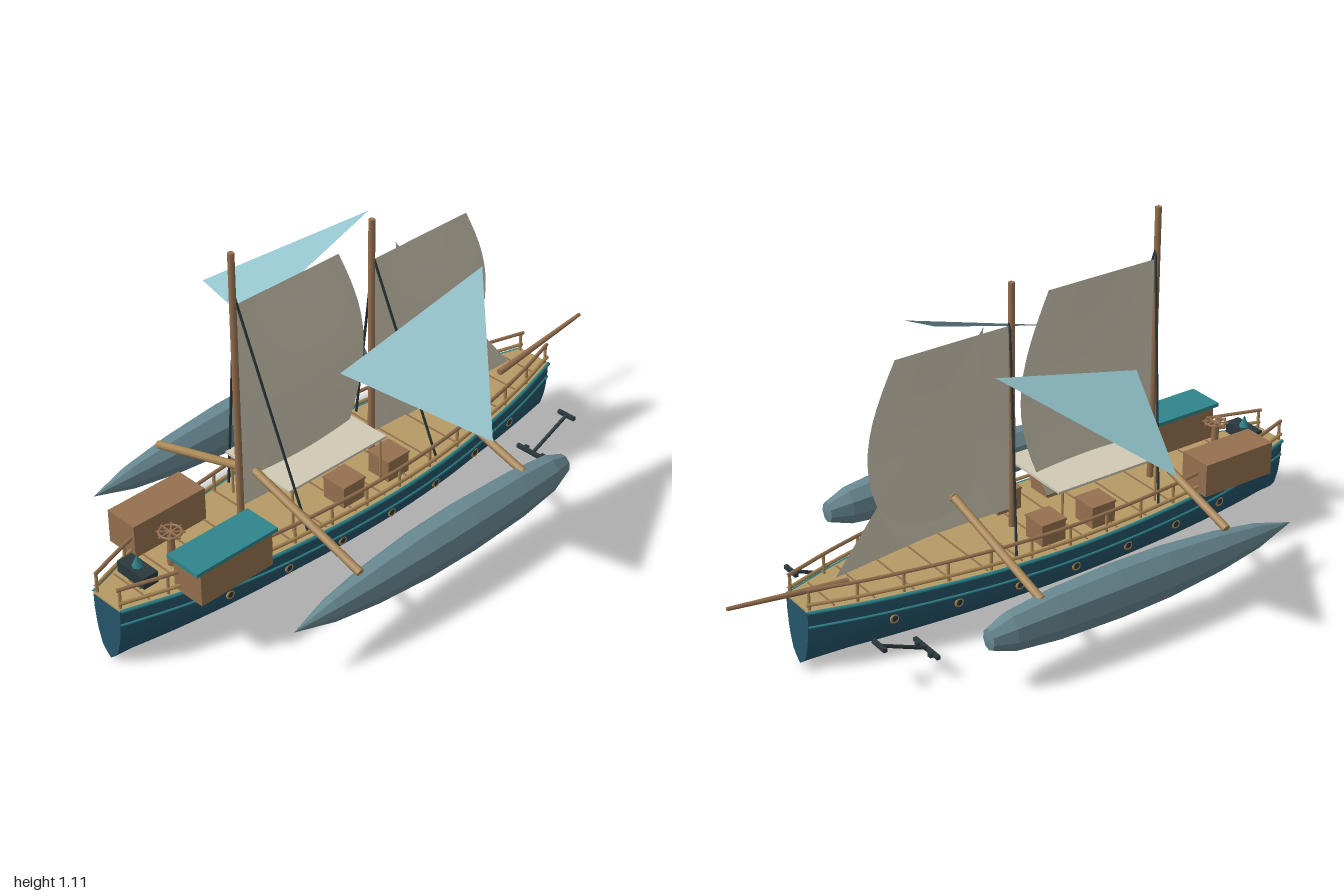
import * as THREE from 'three';

const mat = (name, color, extra = {}) => new THREE.MeshStandardMaterial({ name, color, ...extra });
const V = (x, y, z) => new THREE.Vector3(x, y, z);

export function createModel() {
  const root = new THREE.Group();
  root.name = 'outriggerShip';
  const hullBlue = mat('hull blue', 0x25566c);
  const teal = mat('teal trim', 0x2f858d);
  const deckTan = mat('deck tan', 0xb69a66);
  const poleTan = mat('pole wood', 0xa98655);
  const brown = mat('brown wood', 0x95704f);
  const dark = mat('dark iron', 0x2a383d);
  const canvas = mat('canvas', 0xd0c9b5, { side: THREE.DoubleSide });
  const floatGrey = mat('float grey', 0x678790, { flatShading: true });
  const wingBlue = mat('wing blue', 0x94c4cc, { side: THREE.DoubleSide });

  const add = (name, geo, material, x = 0, y = 0, z = 0, parent = root) => {
    const m = new THREE.Mesh(geo, material);
    m.name = name;
    m.position.set(x, y, z);
    parent.add(m);
    return m;
  };
  const box = (name, w, h, d, material, x, y, z, parent) =>
    add(name, new THREE.BoxGeometry(w, h, d), material, x, y, z, parent);
  // Round bar between two points
  const bar = (name, a, b, r, material, r2 = r, parent = root) => {
    const m = add(name, new THREE.CylinderGeometry(r2, r, a.distanceTo(b), 8), material, 0, 0, 0, parent);
    m.position.copy(a).add(b).multiplyScalar(0.5);
    m.quaternion.setFromUnitVectors(V(0, 1, 0), b.clone().sub(a).normalize());
    return m;
  };

  // Hull plan: half width along z
  const plan = new THREE.CatmullRomCurve3([
    [-0.78, 0.06], [-0.6, 0.112], [-0.4, 0.155], [-0.2, 0.187], [0, 0.203], [0.2, 0.203],
    [0.4, 0.19], [0.6, 0.165], [0.82, 0.115], [1, 0.058]].map(([z, w]) => V(w, 0, z)));
  const stations = plan.getPoints(45);
  const halfWidth = z => {
    let i = 1;
    while (i < stations.length - 1 && stations[i].z < z) i++;
    const a = stations[i - 1], b = stations[i];
    return a.x + (b.x - a.x) * (z - a.z) / (b.z - a.z);
  };

  // Hull shell lofted from one section scaled by the plan
  const side = [[1, 0.2], [0.97, 0.15], [0.91, 0.115], [0.81, 0.08], [0.58, 0.035], [0.3, 0.015]];
  const section = [...side, [0, 0], ...side.map(([x, y]) => [-x, y]).reverse()];
  const pos = [], idx = [], n = section.length;
  stations.forEach((s, i) => section.forEach(([f, y], j) => {
    pos.push(f * s.x, y, s.z);
    if (i < stations.length - 1 && j < n - 1) {
      const a = i * n + j, b = a + 1, c = a + n, d = c + 1;
      idx.push(a, c, b, b, c, d);
    }
  }));
  const shell = new THREE.BufferGeometry();
  shell.setAttribute('position', new THREE.Float32BufferAttribute(pos, 3));
  shell.setIndex(idx);
  shell.computeVertexNormals();
  add('hull', shell, hullBlue);
  const endCap = w => new THREE.ShapeGeometry(new THREE.Shape(section.map(([f, y]) => new THREE.Vector2(f * w, y))));
  add('transom', endCap(0.058), hullBlue, 0, 0, 1);
  add('stem', endCap(0.06), hullBlue, 0, 0, -0.78).rotation.y = Math.PI;

  // Deck and plank seams
  const outline = [...stations.map(s => [s.x, -s.z]), ...stations.map(s => [-s.x, -s.z]).reverse()];
  const deckGeo = new THREE.ExtrudeGeometry(new THREE.Shape(outline.map(p => new THREE.Vector2(...p))),
    { depth: 0.006, bevelEnabled: false });
  deckGeo.rotateX(-Math.PI / 2);
  add('deck', deckGeo, deckTan, 0, 0.198, 0);
  for (let z = -0.7; z < 0.95; z += 0.115)
    box('deckSeam', 2 * halfWidth(z) - 0.02, 0.003, 0.005, brown, 0, 0.205, z);

  // Rails, stripes, posts and portholes along both sides
  const along = (name, sx, y, f, off, r, material) => {
    const path = new THREE.CatmullRomCurve3(stations.map(s => V(sx * (s.x * f + off), y, s.z)));
    add(name, new THREE.TubeGeometry(path, 50, r, 6), material);
  };
  for (const sx of [-1, 1]) {
    along('gunwale', sx, 0.2, 1, 0.002, 0.006, teal);
    along('hullStripe', sx, 0.15, 0.97, 0.001, 0.004, teal);
    along('lowerRail', sx, 0.222, 1, -0.006, 0.006, poleTan);
    along('upperRail', sx, 0.268, 1, -0.01, 0.006, brown);
    for (let i = 0; i <= 13; i++) {
      const z = -0.77 + i * 0.1355;
      bar('railPost', V(sx * (halfWidth(z) - 0.01), 0.2, z), V(sx * (halfWidth(z) - 0.01), 0.27, z), 0.005, poleTan);
    }
    for (let i = 0; i < 7; i++) {
      const z = -0.53 + i * 0.2;
      const x = sx * halfWidth(z) * 0.925;
      add('portholeRing', new THREE.TorusGeometry(0.012, 0.004, 6, 14), poleTan, x, 0.12, z).rotation.y = Math.PI / 2;
      add('portholeGlass', new THREE.CylinderGeometry(0.011, 0.011, 0.006, 12), dark, x, 0.12, z).rotation.z = Math.PI / 2;
    }
  }

  // Masts, shrouds and bowsprit
  for (const [z, top, rope] of [[0.5, 1.112, 0.975], [-0.032, 1.005, 0.88]]) {
    bar('mast', V(0, 0.2, z), V(0, top, z), 0.011, brown, 0.01);
    for (const sx of [-1, 1])
      bar('shroud', V(sx * 0.172, 0.21, z - 0.105), V(0, rope, z - 0.006), 0.004, dark);
  }
  bar('bowsprit', V(0, 0.215, -0.61), V(0, 0.264, -1), 0.011, brown, 0.006);

  // Square sails: a plane bent by rule, bellied to one side
  const sail = (name, luff, y0, y1, leech) => {
    const g = new THREE.PlaneGeometry(1, 1, 10, 14), p = g.attributes.position;
    for (let i = 0; i < p.count; i++) {
      const u = p.getX(i) + 0.5, v = p.getY(i) + 0.5;
      p.setXYZ(i, 0.03 * Math.sin(Math.PI * u) * Math.sin(Math.PI * Math.min(1, v * 0.95 + 0.05)),
        y0 + (y1 - y0) * v, luff + (leech(v) - luff) * u);
    }
    g.computeVertexNormals();
    return add(name, g, canvas);
  };
  sail('mainSail', 0.492, 0.265, 0.945, v => 0.1 - 0.1 * Math.sin(Math.PI * v));
  sail('foreSail', -0.04, 0.265, 0.87, v => -0.43 - 0.1 * Math.sin(Math.PI * v));

  const triangle = (name, pts, material) => {
    const g = new THREE.BufferGeometry().setFromPoints(pts);
    g.computeVertexNormals();
    add(name, g, material);
  };
  triangle('jib', [V(0, 0.89, -0.13), V(0, 0.24, -0.65), V(0.015, 0.27, -0.17)], canvas);

  // Side wing sails, floats and anchors
  for (const sx of [-1, 1]) {
    const pts = [V(sx * 0.232, 0.856, -0.25), V(sx * 0.19, 0.713, 0.28), V(sx * 0.605, 0.6, 0.1)];
    triangle('wingSail', sx > 0 ? pts : pts.reverse(), wingBlue);

    const profile = [[0, -0.425], [0.028, -0.42], [0.05, -0.35], [0.064, -0.2], [0.07, 0.02], [0.067, 0.2],
      [0.053, 0.4], [0.033, 0.56], [0, 0.7]].map(p => new THREE.Vector2(...p));
    const f = new THREE.LatheGeometry(profile, 9);
    f.rotateX(Math.PI / 2);
    f.scale(1, 1.24, 1);
    add('outriggerFloat', f, floatGrey, sx * 0.436, 0.175, 0);
    for (const z of [-0.237, 0.443])
      bar('outriggerArm', V(0, 0.367, z), V(sx * 0.435, 0.238, z), 0.013, poleTan);

    const x = sx * 0.245;
    bar('anchorShank', V(x, 0.145, -0.66), V(x, 0.078, -0.505), 0.006, dark);
    box('anchorStock', 0.065, 0.012, 0.012, dark, x, 0.145, -0.66);
    box('anchorFluke', 0.125, 0.012, 0.012, dark, x, 0.076, -0.503);
    for (const e of [-1, 1]) box('anchorTip', 0.014, 0.014, 0.02, dark, x + e * 0.034, 0.076, -0.508);

    // Deck crates
    for (const z of [0.01, 0.195]) {
      box('crate', 0.085, 0.07, 0.085, brown, sx * 0.115, 0.238, z);
      box('crateLid', 0.09, 0.006, 0.09, brown, sx * 0.115, 0.274, z);
    }
  }

  // Canvas awning on posts
  box('awning', 0.275, 0.008, 0.39, canvas, 0, 0.354, 0.237);
  for (const x of [-0.13, 0.13]) for (const z of [0.06, 0.415])
    bar('awningPost', V(x, 0.2, z), V(x, 0.352, z), 0.004, poleTan);

  // Stern cabins
  box('portLocker', 0.115, 0.11, 0.265, brown, -0.148, 0.258, 0.688);
  box('cabin', 0.115, 0.112, 0.265, brown, 0.144, 0.258, 0.693);
  box('cabinRoof', 0.128, 0.012, 0.3, teal, 0.144, 0.32, 0.693);
  box('cabinLatch', 0.05, 0.02, 0.012, dark, 0.144, 0.272, 0.538);

  // Flat steering wheel on a column
  const helm = new THREE.Group();
  helm.name = 'helm';
  helm.position.set(0, 0.316, 0.762);
  root.add(helm);
  bar('helmColumn', V(0, -0.114, 0), V(0, 0, 0), 0.014, brown, 0.01, helm);
  add('helmRim', new THREE.TorusGeometry(0.033, 0.004, 6, 20), brown, 0, 0, 0, helm).rotation.x = Math.PI / 2;
  for (let i = 0; i < 4; i++)
    box('helmSpoke', 0.084, 0.005, 0.005, brown, 0, 0, 0, helm).rotation.y = i * Math.PI / 4;

  // Stern lamp stand with a crystal
  box('lampStand', 0.05, 0.025, 0.03, brown, 0, 0.215, 0.885);
  box('lampBase', 0.115, 0.038, 0.052, dark, 0, 0.245, 0.885);
  add('lampCrystal', new THREE.ConeGeometry(0.017, 0.038, 6), teal, 0, 0.283, 0.885);

  return root;
}
